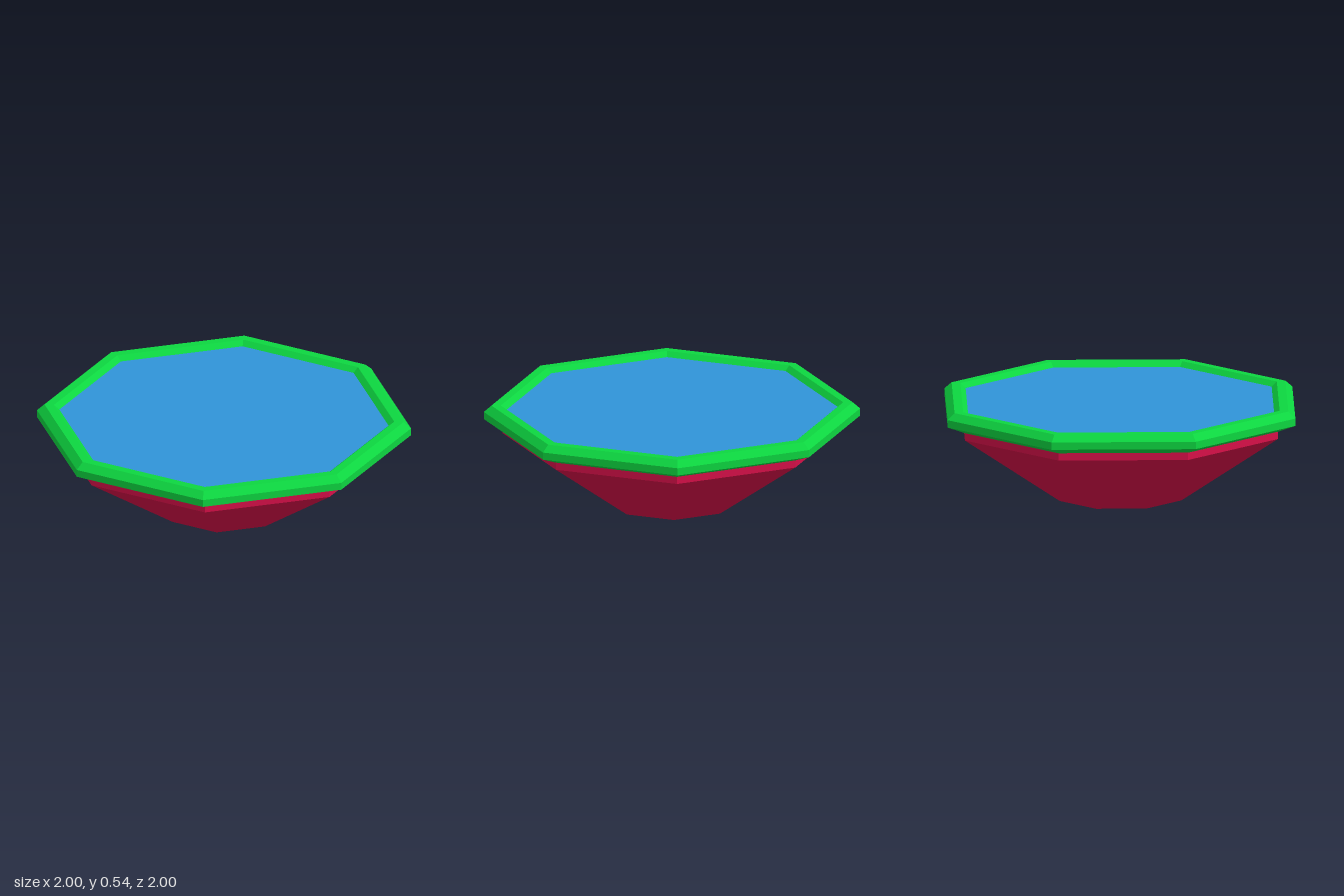
import * as THREE from 'three';

const SIDES = 8;

// Faceted ring swept from [radius, height] points
function facetedRing(name, points, material) {
  const profile = points.map(([r, y]) => new THREE.Vector2(r, y));
  const geometry = new THREE.LatheGeometry(profile, SIDES).toNonIndexed();
  geometry.computeVertexNormals();
  const mesh = new THREE.Mesh(geometry, material);
  mesh.name = name;
  return mesh;
}

// Flat octagon facing up (+1) or down (-1)
function octagon(name, radius, y, facing, material) {
  const geometry = new THREE.CircleGeometry(radius, SIDES);
  geometry.rotateX(-facing * Math.PI / 2);
  const mesh = new THREE.Mesh(geometry, material);
  mesh.name = name;
  mesh.position.y = y;
  return mesh;
}

export function createModel() {
  const red = new THREE.MeshStandardMaterial({ color: 0xd60f48 });
  red.name = 'crimson';
  const green = new THREE.MeshStandardMaterial({ color: 0x0dd640 });
  green.name = 'green';
  const blue = new THREE.MeshStandardMaterial({ color: 0x3094d8 });
  blue.name = 'blue';

  const model = new THREE.Group();
  model.name = 'octagonalBasin';

  // Tapered bowl with a short upright collar
  model.add(facetedRing('bowl', [[0.35, 0], [0.9, 0.38], [0.9, 0.42]], red));
  model.add(octagon('bowlBase', 0.35, 0, -1, red));

  // Bevelled rim, from its underside over to the inner lip
  model.add(facetedRing('rim', [
    [0.9, 0.42], [1, 0.46], [1, 0.5], [0.96, 0.535], [0.91, 0.535], [0.88, 0.51],
  ], green));

  // Flat filling inside the rim
  model.add(octagon('surface', 0.88, 0.51, 1, blue));

  return model;
}
